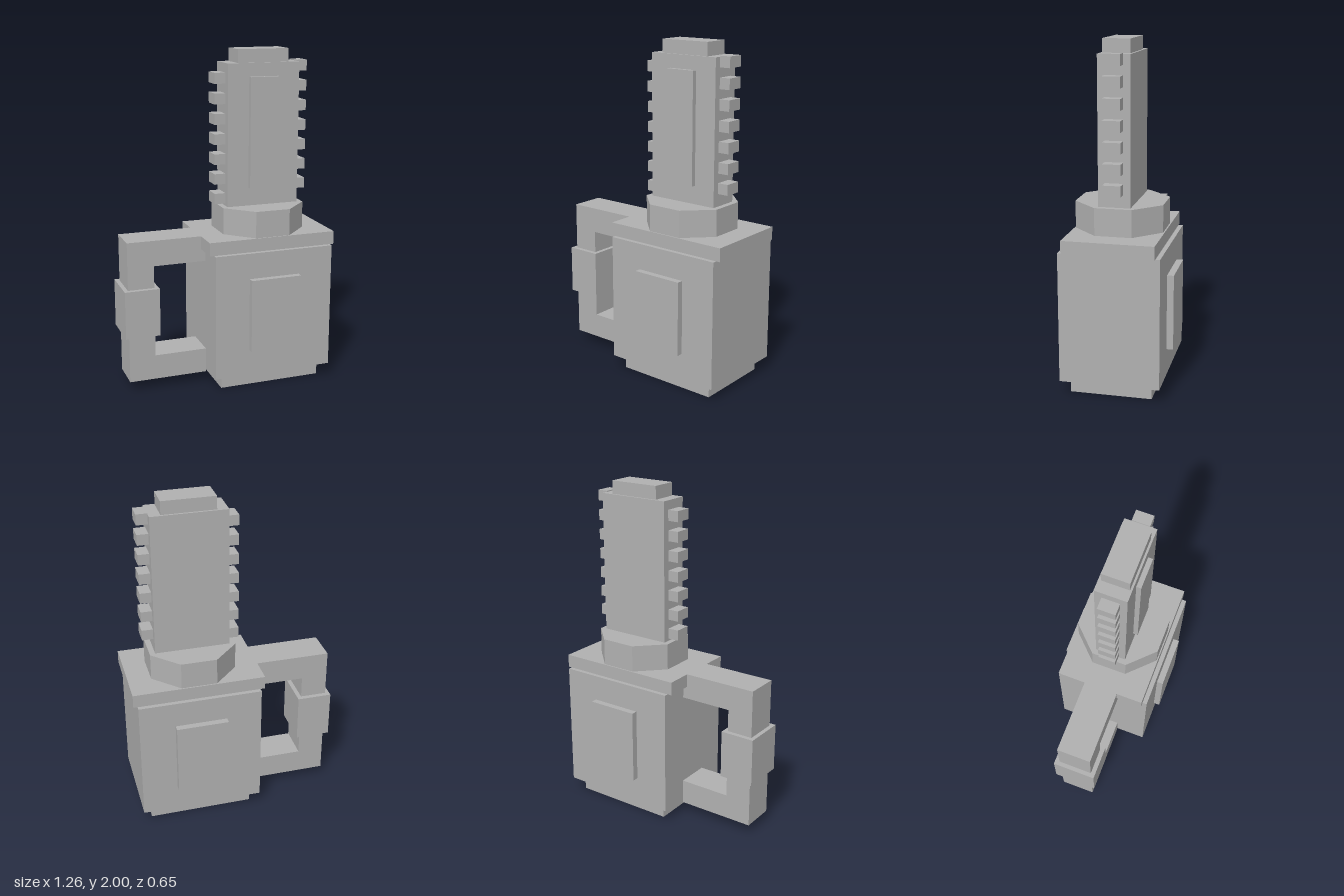
import * as THREE from 'three';

export function createModel() {
  const model = new THREE.Group();
  model.name = 'chainsaw';
  const grey = new THREE.MeshStandardMaterial({ color: 0xb0b0b0 });
  grey.name = 'plain grey';

  // Box given by its limits on each axis
  const box = (name, x0, x1, y0, y1, z0, z1, parent = model) => {
    const mesh = new THREE.Mesh(new THREE.BoxGeometry(x1 - x0, y1 - y0, z1 - z0), grey);
    mesh.position.set((x0 + x1) / 2, (y0 + y1) / 2, (z0 + z1) / 2);
    mesh.name = name;
    parent.add(mesh);
    return mesh;
  };

  // Motor housing
  box('base', -0.08, 0.55, 0, 0.083, -0.237, 0.237);
  box('body', -0.132, 0.604, 0.083, 0.843, -0.29, 0.288);
  box('lid', -0.159, 0.628, 0.843, 0.922, -0.264, 0.261);
  box('frontPanel', 0.079, 0.391, 0.243, 0.688, 0.288, 0.326);
  box('backPanel', 0.079, 0.391, 0.243, 0.688, -0.329, -0.29);

  // Side handle: one C-shaped bracket with a thicker grip
  const c = new THREE.Shape();
  [[-0.132, 0.06], [-0.132, 0.21], [-0.449, 0.21], [-0.449, 0.768],
    [-0.132, 0.768], [-0.132, 0.922], [-0.608, 0.922], [-0.608, 0.06]]
    .forEach(([x, y], i) => (i ? c.lineTo(x, y) : c.moveTo(x, y)));
  const handle = new THREE.Mesh(
    new THREE.ExtrudeGeometry(c, { depth: 0.208, bevelEnabled: false }), grey);
  handle.position.z = -0.105;
  handle.name = 'handle';
  model.add(handle);
  box('grip', -0.633, -0.423, 0.345, 0.635, -0.133, 0.13);

  // Octagonal collar with flat sides facing the axes
  const apothem = 0.255;
  const radius = apothem / Math.cos(Math.PI / 8);
  const collarGeometry = new THREE.CylinderGeometry(radius, radius, 0.16, 8).rotateY(Math.PI / 8).toNonIndexed();
  collarGeometry.computeVertexNormals();
  const collar = new THREE.Mesh(collarGeometry, grey);
  collar.position.set(0.235, 1.001, -0.001);
  collar.name = 'collar';
  model.add(collar);

  // Blade with raised plate and tip
  box('blade', 0.012, 0.457, 1.08, 1.922, -0.094, 0.09);
  box('bladePlate', 0.143, 0.325, 1.19, 1.843, 0.09, 0.118);
  box('bladeTip', 0.078, 0.392, 1.922, 2, -0.081, 0.078);

  // Two staggered rows of teeth
  const teeth = new THREE.Group();
  teeth.name = 'teeth';
  model.add(teeth);
  for (let i = 0; i < 7; i++) {
    const y = 1.095 + i * 0.1183;
    box('rightTooth', -0.055, 0.012, y, y + 0.063, -0.053, 0.05, teeth);
    box('leftTooth', 0.457, 0.523, y + 0.06, y + 0.123, -0.053, 0.05, teeth);
  }
  return model;
}
